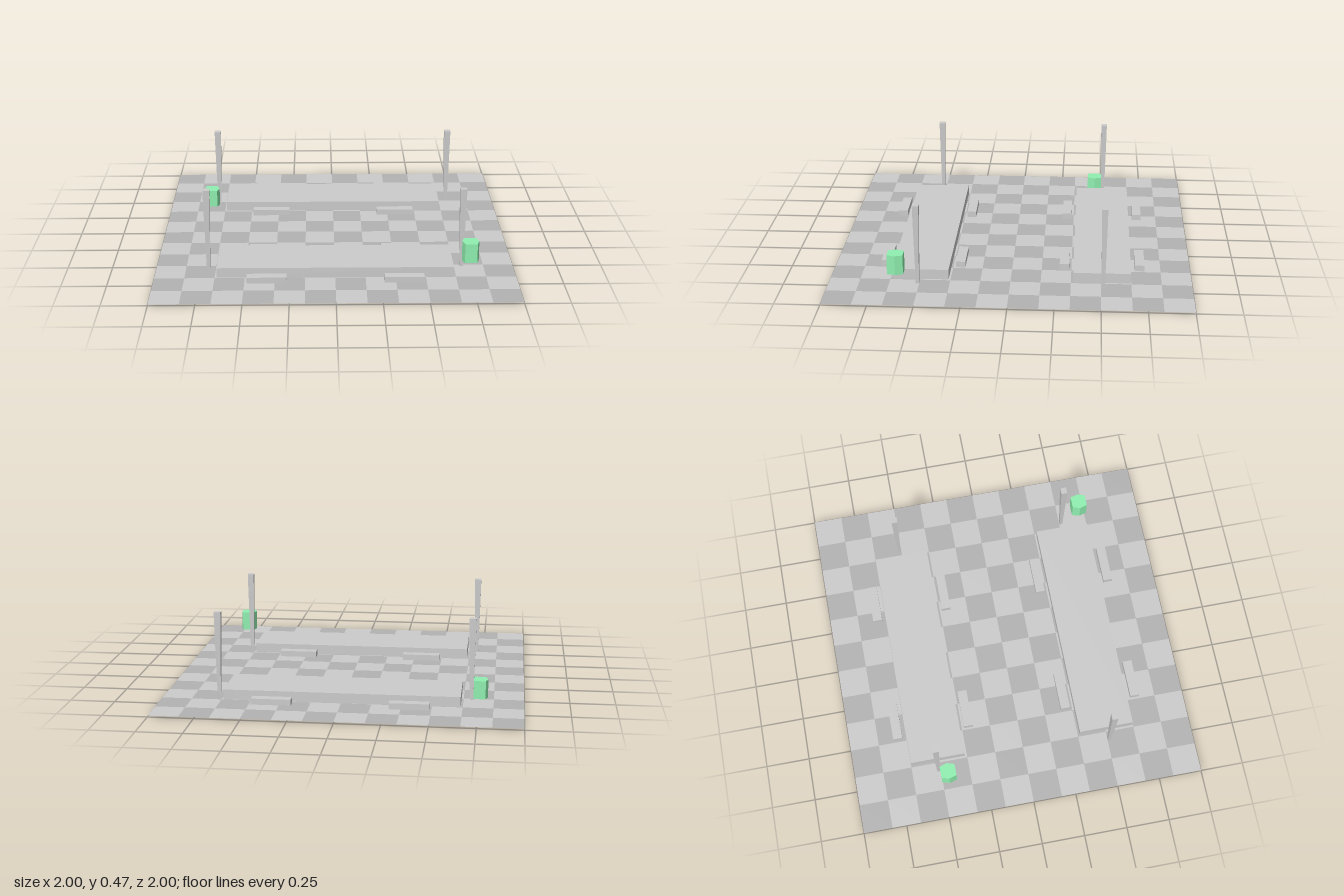
import * as THREE from 'three';
import { mergeGeometries } from 'three/addons/utils/BufferGeometryUtils.js';

const FLOOR_Y = 0.008;
const grey = new THREE.MeshStandardMaterial({ color: 0xcccccc, flatShading: true });
const green = new THREE.MeshStandardMaterial({ color: 0x90f0b0, flatShading: true });
const lightTile = new THREE.MeshStandardMaterial({ color: 0xcccccc, side: THREE.DoubleSide });
const darkTile = new THREE.MeshStandardMaterial({ color: 0xb3b3b3, side: THREE.DoubleSide });

function addMesh(parent, name, geometry, material, x = 0, y = 0, z = 0) {
  const mesh = new THREE.Mesh(geometry, material);
  mesh.name = name;
  mesh.position.set(x, y, z);
  parent.add(mesh);
  return mesh;
}

// Box standing on the floor
function addSlab(parent, name, w, h, d, x, z) {
  return addMesh(parent, name, new THREE.BoxGeometry(w, h, d), grey, x, FLOOR_Y + h / 2, z);
}

// Checkered floor, one merged mesh per tile shade
function buildFloor() {
  const floor = new THREE.Group();
  floor.name = 'floor';
  const count = 12, size = 2 / count;
  const tiles = [[], []];
  for (let i = 0; i < count; i++) {
    for (let j = 0; j < count; j++) {
      const tile = new THREE.PlaneGeometry(size, size).rotateX(-Math.PI / 2);
      tile.translate(-1 + (i + 0.5) * size, FLOOR_Y, -1 + (j + 0.5) * size);
      tiles[(i + j) % 2].push(tile);
    }
  }
  addMesh(floor, 'darkTiles', mergeGeometries(tiles[0]), darkTile);
  addMesh(floor, 'lightTiles', mergeGeometries(tiles[1]), lightTile);
  return floor;
}

// Square post, narrow at the foot and widening to the top
function postGeometry() {
  const height = 0.462;
  const geo = new THREE.BoxGeometry(1, height, 1, 1, 4, 1).translate(0, height / 2, 0);
  const pos = geo.attributes.position;
  for (let i = 0; i < pos.count; i++) {
    const t = pos.getY(i) / height;
    const width = 0.019 + 0.019 * Math.min(1, t * 1.05);
    pos.setX(i, pos.getX(i) * width);
    pos.setZ(i, pos.getZ(i) * width * 0.92);
  }
  geo.computeVertexNormals();
  return geo;
}

// Six-sided bin with flat sides to front and back
function binGeometry() {
  const shape = new THREE.Shape([
    [0.047, 0], [0.034, 0.044], [-0.034, 0.044],
    [-0.047, 0], [-0.034, -0.044], [0.034, -0.044],
  ].map(([x, y]) => new THREE.Vector2(x, y)));
  return new THREE.ExtrudeGeometry(shape, { depth: 0.112, bevelEnabled: false }).rotateX(-Math.PI / 2);
}

// Long table with four benches and a post at each end
function buildTableSet(z) {
  const set = new THREE.Group();
  set.name = z > 0 ? 'frontTableSet' : 'backTableSet';
  addSlab(set, 'table', 1.31, 0.057, 0.318, 0, z);
  for (const sx of [-1, 1]) {
    for (const sz of [-1, 1]) {
      addSlab(set, 'bench', 0.22, 0.034, 0.054, sx * 0.378, z + sz * 0.211);
    }
    addMesh(set, 'post', postGeometry(), grey, sx * 0.71, FLOOR_Y, z + (z > 0 ? 0.007 : -0.007));
  }
  return set;
}

export function createModel() {
  const model = new THREE.Group();
  model.name = 'tableHall';
  model.add(buildFloor(), buildTableSet(0.503), buildTableSet(-0.505));
  addMesh(model, 'raisedBin', binGeometry(), green, 0.747, 0.09, 0.623);
  addMesh(model, 'floorBin', binGeometry(), green, -0.753, 0, -0.46);
  return model;
}
